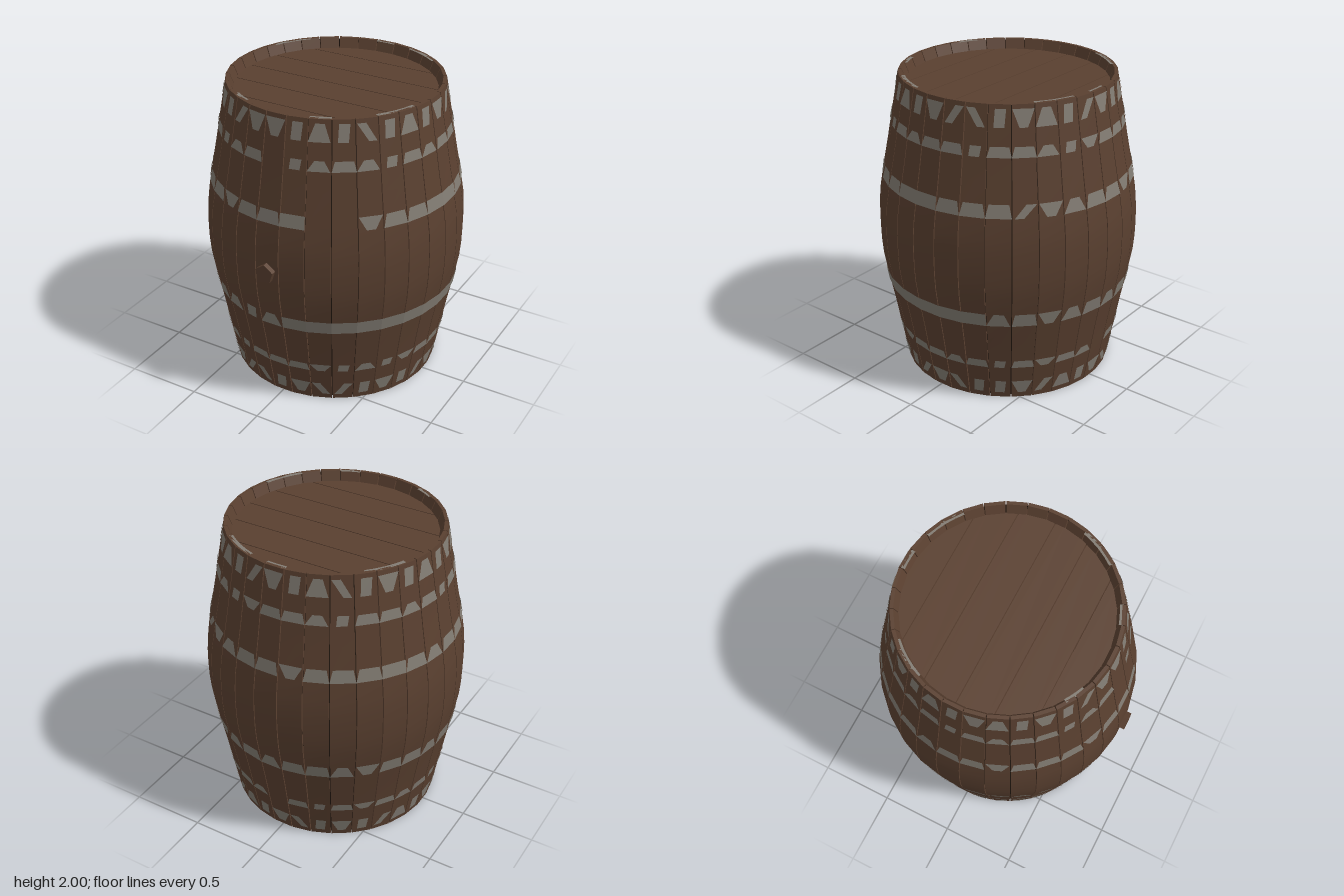
import * as THREE from 'three';
import { mergeGeometries, toCreasedNormals } from 'three/addons/utils/BufferGeometryUtils.js';

const STAVES = 32;
const STEP = (Math.PI * 2) / STAVES;
const TAN = Math.tan(STEP / 2);
const CENTRE_Z = -0.015;

// Outer radius (to the middle of a stave) by height, mirrored about y = 1
const PROFILE = [[0, 0.69], [0.1, 0.708], [0.28, 0.741], [0.45, 0.771], [0.64, 0.808], [0.8, 0.835], [0.9, 0.843], [1, 0.845]];
function radiusAt(y) {
  const h = Math.min(y, 2 - y);
  for (let i = 1; i < PROFILE.length; i++) {
    const [y0, r0] = PROFILE[i - 1], [y1, r1] = PROFILE[i];
    if (h <= y1) return r0 + ((r1 - r0) * (h - y0)) / (y1 - y0);
  }
  return 0.845;
}

function build(pos, idx) {
  const g = new THREE.BufferGeometry();
  g.setAttribute('position', new THREE.Float32BufferAttribute(pos, 3));
  g.setIndex(idx);
  return g;
}

// One solid stave facing +z, lofted upwards from four-cornered sections
function staveGeometry() {
  const half = PROFILE.map((p) => p[0]).concat(0.07).sort((a, b) => a - b);
  const ys = [...half, ...half.slice(0, -1).reverse().map((y) => 2 - y)];
  const pos = [], idx = [];
  for (const y of ys) {
    const r = radiusAt(y), end = Math.min(y, 2 - y);
    const inner = end < 0.01 ? 0.668 : end < 0.08 ? 0.64 : r - 0.05;
    const w = r * TAN - 0.003, wi = inner * TAN - 0.003;
    pos.push(-w, y, r, w, y, r, wi, y, inner, -wi, y, inner);
  }
  for (let k = 0; k < ys.length - 1; k++) {
    for (let c = 0; c < 4; c++) {
      const a = k * 4 + c, b = k * 4 + ((c + 1) % 4);
      idx.push(a, b, b + 4, a, b + 4, a + 4);
    }
  }
  const t = (ys.length - 1) * 4;
  idx.push(0, 2, 1, 0, 3, 2, t, t + 1, t + 2, t, t + 2, t + 3);
  return toCreasedNormals(build(pos, idx), 0.5);
}

// Exposed hoop shapes across a stave: [bottom left, bottom right, top left, top right]
const SHAPES = {
  '#': [-1, 1, -1, 1],
  A: [-1, 0.9, -0.4, 0.4],
  V: [-0.35, 0.35, -0.95, 0.95],
  I: [-0.5, 0.4, -0.4, 0.55],
  '/': [-0.8, -0.1, 0.1, 0.9],
  '\\': [0.1, 0.8, -0.9, -0.1],
  n: [-1, 1, -0.75, 0.8],
};
// Stave 0 faces the front and the order runs towards +x
const HOOPS = [
  { name: 'bottomHoop', y: [0.04, 0.135], rows: 'IV\\/IVI/V\\IIV/AIV\\IVI/AIVI/VAV/\\' },
  { name: 'lowerHoop', y: [0.25, 0.305], rows: 'nnVIAIVnnAnInVnA nInVnAnInVnnAInI' },
  { name: 'lowerBellyHoop', y: [0.59, 0.68], rows: 'A##########AnVAnAnnAVnnAnnVAIAAI' },
  { name: 'upperBellyHoop', y: [1.33, 1.415], rows: 'n#  Vnn##nnn/VAnnVnnn#nAnnVnnnVn' },
  { name: 'upperHoop', y: [1.69, 1.755], rows: ' IAnAInAnnInnAIVnnAInnAnInAnnIAn' },
  { name: 'topHoop', y: [1.865, 1.975], rows: 'VIAI\\IAIV/\\IVAI/VIA\\IVIAIVAIVI/' },
];

function hoopGeometry({ y: [y0, y1], rows }) {
  const parts = [];
  for (let i = 0; i < STAVES; i++) {
    const s = SHAPES[rows[i % rows.length]];
    if (!s) continue;
    const ra = radiusAt(y0) + 0.005, rb = radiusAt(y1) + 0.005;
    const wa = ra * TAN, wb = rb * TAN;
    const g = build([s[0] * wa, y0, ra, s[1] * wa, y0, ra, s[3] * wb, y1, rb, s[2] * wb, y1, rb], [0, 1, 2, 0, 2, 3]);
    g.computeVertexNormals();
    parts.push(g.rotateY(i * STEP));
  }
  return mergeGeometries(parts);
}

// Round lid cut into planks with narrow gaps
function lidGeometry() {
  const R = 0.648, cuts = [-R, -0.465, -0.235, -0.005, 0.225, 0.455, R];
  const parts = [];
  for (let k = 0; k < cuts.length - 1; k++) {
    const a = cuts[k] + 0.003, b = cuts[k + 1] - 0.003;
    const pts = [];
    for (const side of [1, -1]) {
      for (let j = 0; j <= 8; j++) {
        const z = side > 0 ? a + ((b - a) * j) / 8 : b - ((b - a) * j) / 8;
        pts.push(new THREE.Vector2(side * Math.sqrt(R * R - z * z), z));
      }
    }
    const shape = new THREE.Shape(pts);
    parts.push(new THREE.ExtrudeGeometry(shape, { depth: 0.04, bevelEnabled: false }).rotateX(Math.PI / 2));
  }
  return mergeGeometries(parts);
}

export function createModel() {
  const wood = new THREE.MeshStandardMaterial({ color: 0x5a4030 });
  wood.name = 'brown wood';
  const seam = new THREE.MeshStandardMaterial({ color: 0x21170f, side: THREE.DoubleSide });
  seam.name = 'dark seam';
  const iron = new THREE.MeshStandardMaterial({ color: 0x827c73, side: THREE.DoubleSide });
  iron.name = 'grey iron';

  const model = new THREE.Group();
  model.name = 'barrel';
  const add = (name, geometry, material, y = 0, z = CENTRE_Z) => {
    const mesh = new THREE.Mesh(geometry, material);
    mesh.name = name;
    mesh.position.set(0, y, z);
    model.add(mesh);
    return mesh;
  };

  // Staves around the barrel
  const stave = staveGeometry();
  for (let i = 0; i < STAVES; i++) add('stave', stave, wood).rotation.y = i * STEP;

  // Dark backing seen between the staves
  const backing = PROFILE.map(([y, r]) => new THREE.Vector2(r - 0.014, Math.max(y, 0.01)));
  const upper = backing.slice(0, -1).reverse().map((p) => new THREE.Vector2(p.x, 2 - p.y));
  add('seamBacking', new THREE.LatheGeometry([...backing, ...upper], STAVES, STEP / 2), seam);

  // Worn iron hoops
  for (const hoop of HOOPS) add(hoop.name, hoopGeometry(hoop), iron);

  // Scraps of the end hoop on the rims
  for (const [start, count] of [[3, 2], [5, 1], [8, 2], [14, 1], [17, 1], [19, 2]]) {
    const scrap = new THREE.RingGeometry(0.655, 0.68, count * 2, 1, start * STEP * 1.5, count * STEP).rotateX(-Math.PI / 2);
    add('topRimScrap', scrap, iron, 2.0);
  }

  // Recessed lids
  const lid = lidGeometry();
  add('topLid', lid, wood, 1.935);
  add('bottomLid', lid, wood, 0.105);

  // Bung on the front
  const bung = new THREE.CylinderGeometry(0.064, 0.064, 0.06, 5).toNonIndexed();
  bung.computeVertexNormals();
  bung.rotateX(Math.PI / 2).rotateZ(Math.PI);
  add('bung', bung, wood, 1, 0.833);

  return model;
}
